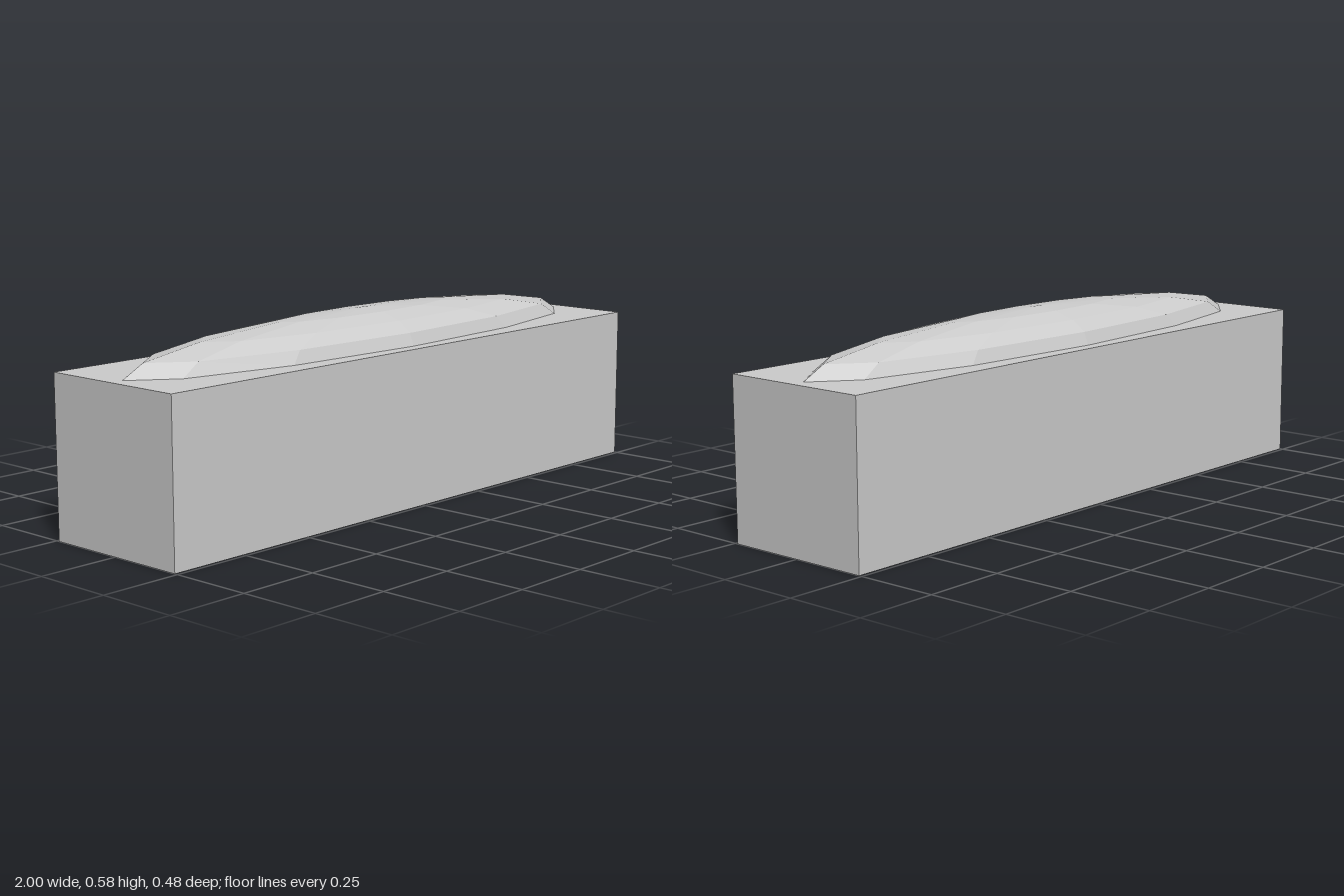
import * as THREE from 'three';

export function createModel() {
  const model = new THREE.Group();
  model.name = 'domedBlock';

  const grey = new THREE.MeshStandardMaterial({ color: 0xcccccc, flatShading: true });
  grey.name = 'lightGrey';

  // Long square-section block standing on the ground
  const block = new THREE.Mesh(new THREE.BoxGeometry(2, 0.48, 0.48), grey);
  block.name = 'block';
  block.position.y = 0.24;
  model.add(block);

  // Faceted half ellipsoid lying along the top of the block
  const domeGeometry = new THREE.SphereGeometry(1, 12, 4, 0, Math.PI * 2, 0, Math.PI / 2);
  domeGeometry.scale(0.96, 0.1, 0.2);
  const dome = new THREE.Mesh(domeGeometry, grey);
  dome.name = 'dome';
  dome.position.y = 0.48;
  model.add(dome);

  return model;
}
